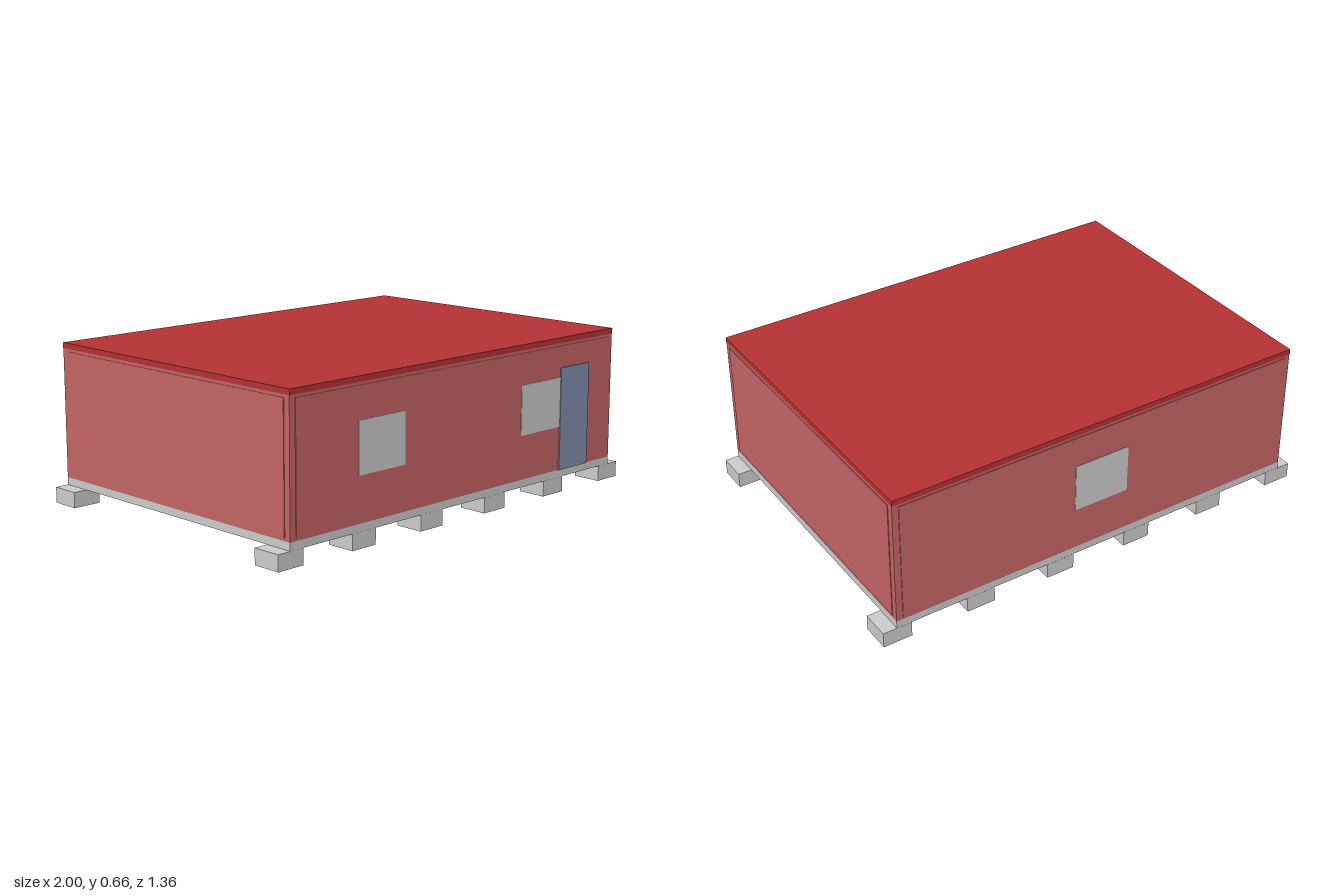
import * as THREE from 'three';

const mat = (color) => new THREE.MeshStandardMaterial({ color, flatShading: true });

export function createModel() {
  const model = new THREE.Group();
  const grey = mat(0xcccccc), wallRed = mat(0xc46464), roofRed = mat(0xb53234), blue = mat(0x808eac);

  // Box given by its lower and upper corners
  function box(name, material, [x0, y0, z0], [x1, y1, z1]) {
    const mesh = new THREE.Mesh(new THREE.BoxGeometry(x1 - x0, y1 - y0, z1 - z0), material);
    mesh.position.set((x0 + x1) / 2, (y0 + y1) / 2, (z0 + z1) / 2);
    mesh.name = name;
    model.add(mesh);
    return mesh;
  }

  const X = 0.94, Z = 0.674, T = 0.028;       // half width, half depth, frame thickness
  const floorY = 0.066, wallY = 0.098, roofY = 0.639, topY = 0.662;

  // Foundation blocks along the front and back
  for (const z of [-0.612, 0.612])
    for (const x of [-0.9375, -0.5625, -0.1875, 0.1875, 0.5625, 0.9375])
      box('foundationBlock', grey, [x - 0.0625, 0, z - 0.0625], [x + 0.0625, floorY, z + 0.0625]);

  // Floor slab and flat roof
  box('floorSlab', grey, [-X, floorY, -Z], [X, wallY, Z]);
  box('roof', roofRed, [-X, roofY, -Z - 0.002], [X, topY, Z + 0.002]);

  // Wall frame: corner posts and the rails between them
  for (const sx of [-1, 1])
    for (const sz of [-1, 1]) {
      const x = sx * (X - T / 2), z = sz * (Z - T / 2);
      box('cornerPost', wallRed, [x - T / 2, wallY, z - T / 2], [x + T / 2, roofY, z + T / 2]);
    }
  for (const [y0, y1] of [[wallY, 0.11], [0.627, roofY]])
    for (const s of [-1, 1]) {
      const z = s * (Z - T / 2), x = s * (X - T / 2);
      box('longRail', wallRed, [-X + T, y0, z - T / 2], [X - T, y1, z + T / 2]);
      box('endRail', wallRed, [x - T / 2, y0, -Z + T], [x + T / 2, y1, Z - T]);
    }

  // Wall panels, standing slightly proud of the frame
  const p = 0.003;
  for (const s of [-1, 1]) {
    const z = s * (Z + p - T / 2), x = s * (X + p - T / 2);
    box('longWall', wallRed, [-X + T, 0.11, z - T / 2], [X - T, 0.627, z + T / 2]);
    box('endWall', wallRed, [x - T / 2, 0.11, -Z + T], [x + T / 2, 0.627, Z - T]);
  }

  // Two front windows, one back window, and the door
  for (const [x, s] of [[-0.47, 1], [0.467, 1], [0, -1]]) {
    const z = s * (Z - 0.007);
    box('window', grey, [x - 0.125, 0.285, z - 0.012], [x + 0.125, 0.495, z + 0.012]);
  }
  box('door', blue, [0.592, wallY, Z - 0.02], [0.778, 0.535, Z + 0.008]);

  return model;
}
